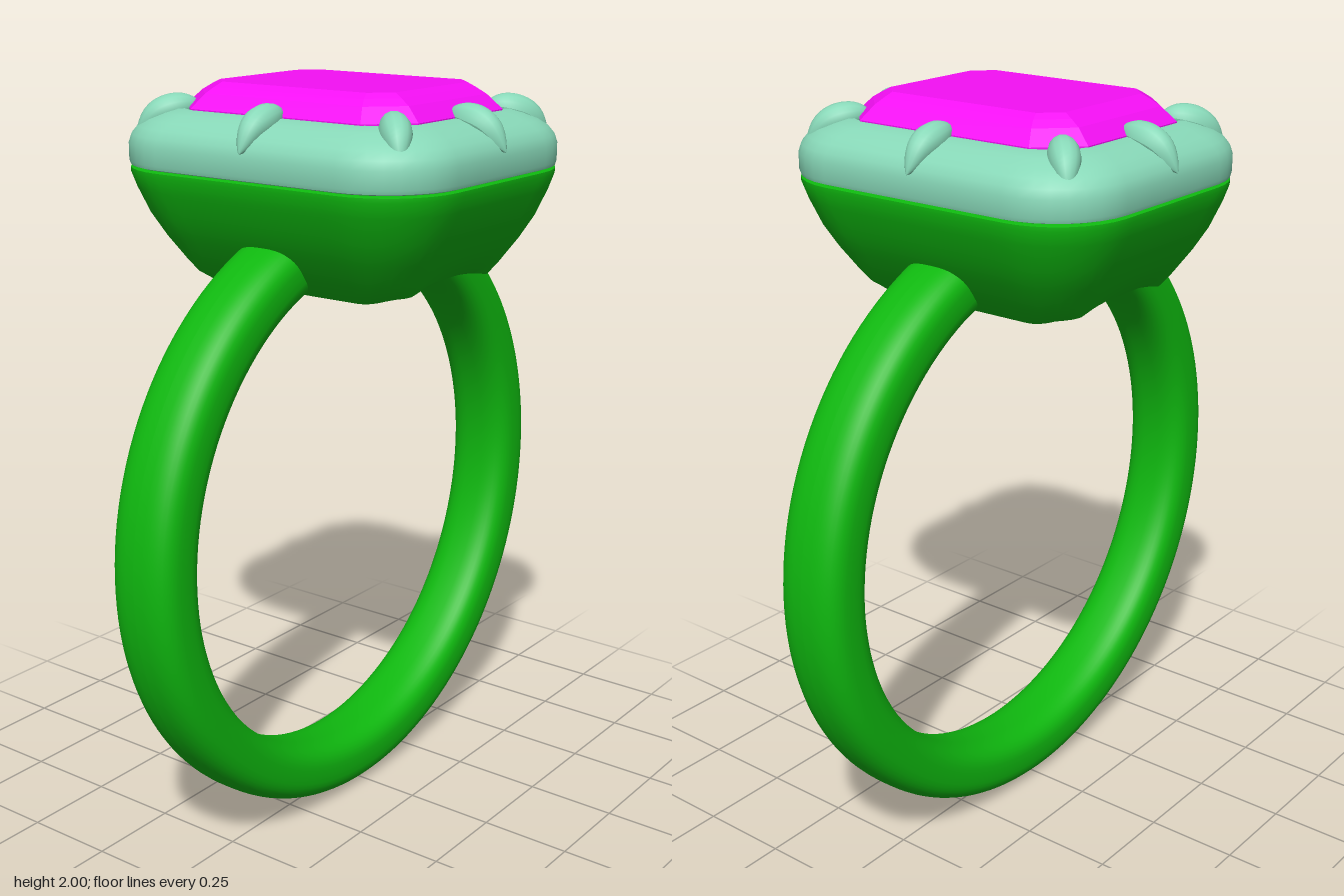
import * as THREE from 'three';
import { toCreasedNormals } from 'three/addons/utils/BufferGeometryUtils.js';

const green = new THREE.MeshStandardMaterial({ color: 0x0fb80f });
const teal = new THREE.MeshStandardMaterial({ color: 0x88d8b8 });
const pink = new THREE.MeshStandardMaterial({ color: 0xf510f5, flatShading: true });

const HX = 0.413, HZ = 0.495;        // half size of the setting
const CY = 0.843, RIN = 0.683;       // finger hole centre and radius

// Rounded rectangle outline in x and z, with divided corners and sides
function outline(hx, hz, r, cornerSegs, sideSegs) {
  const pts = [];
  const signs = [[1, 1], [-1, 1], [-1, -1], [1, -1]];
  const corner = (k, i) => {
    const a = (k + i / cornerSegs) * Math.PI / 2;
    const [sx, sz] = signs[k];
    return new THREE.Vector2(sx * (hx - r) + r * Math.cos(a), sz * (hz - r) + r * Math.sin(a));
  };
  for (let k = 0; k < 4; k++) {
    for (let i = 0; i <= cornerSegs; i++) pts.push(corner(k, i));
    const a = corner(k, cornerSegs), b = corner((k + 1) % 4, 0);
    for (let i = 1; i < sideSegs; i++) pts.push(a.clone().lerp(b, i / sideSegs));
  }
  return pts;
}

// Skin through levels [hx, hz, r, y]; yRule may reshape the height
function loft(levels, cornerSegs, sideSegs, yRule = (x, y) => y) {
  const pos = [], idx = [];
  let n = 0;
  for (const [hx, hz, r, y] of levels) {
    const ring = outline(hx, hz, r, cornerSegs, sideSegs);
    n = ring.length;
    for (const p of ring) pos.push(p.x, yRule(p.x, y), p.y);
  }
  for (let j = 0; j < levels.length - 1; j++) {
    for (let i = 0; i < n; i++) {
      const a = j * n + i, b = j * n + (i + 1) % n;
      idx.push(a, a + n, b, b, a + n, b + n);
    }
  }
  const g = new THREE.BufferGeometry();
  g.setAttribute('position', new THREE.Float32BufferAttribute(pos, 3));
  g.setIndex(idx);
  g.computeVertexNormals();
  return g;
}

// Turn [inset, y] pairs into levels of the setting
const inset = (profile) => profile.map(([d, y]) =>
  [HX - d, HZ - d, Math.max(0.05, 0.21 - 0.65 * d), y]);

// Curved claw: a tube whose radius swells and closes at both tips
function clawGeometry() {
  const path = new THREE.CatmullRomCurve3([
    new THREE.Vector3(-0.045, 1.94, 0), new THREE.Vector3(0.015, 1.932, 0),
    new THREE.Vector3(0.07, 1.912, 0), new THREE.Vector3(0.125, 1.855, 0)]);
  const segs = 20, sides = 14;
  const g = new THREE.TubeGeometry(path, segs, 1, sides);
  const p = g.attributes.position, v = new THREE.Vector3();
  for (let i = 0; i <= segs; i++) {
    const t = i / segs, c = path.getPointAt(t);
    const r = 0.039 * Math.pow(Math.sin(Math.PI * Math.pow(t, 0.8)), 0.75) + 0.0005;
    for (let j = 0; j <= sides; j++) {
      const k = i * (sides + 1) + j;
      v.fromBufferAttribute(p, k).sub(c).multiplyScalar(r).add(c);
      p.setXYZ(k, v.x, v.y, v.z);
    }
  }
  g.computeVertexNormals();
  return g;
}

export function createModel() {
  const model = new THREE.Group();
  const add = (name, geometry, material) => {
    const m = new THREE.Mesh(geometry, material);
    m.name = name;
    model.add(m);
    return m;
  };

  // Band: soft-edged section swept round, open under the setting
  const section = [];
  for (let i = 0; i <= 40; i++) {
    const a = i / 40 * Math.PI * 2, c = Math.cos(a), s = Math.sin(a);
    const soft = (q) => Math.sign(q) * Math.pow(Math.abs(q), 2 / 2.8);
    section.push(new THREE.Vector2(0.763 + 0.08 * soft(c), 0.1 * soft(s)));
  }
  const start = 0.32;
  const band = new THREE.LatheGeometry(section, 128, start, Math.PI * 2 - 2 * start);
  band.rotateX(-Math.PI / 2).translate(0, CY, 0);
  add('band', band, green);

  // Hollow basket, its underside cut to the finger hole
  const basket = loft(inset([
    [0.13, 1.79], [0.25, 1.6], [0.25, 1.57], [0.225, 1.565], [0.225, 1.48],
    [0.215, 1.475], [0.175, 1.482], [0.15, 1.503], [0.125, 1.535], [0.08, 1.6],
    [0.045, 1.66], [0.016, 1.73], [0.003, 1.77], [0.003, 1.782], [0.015, 1.787], [0.13, 1.79],
  ]), 8, 14, (x, y) => Math.max(y, CY + Math.sqrt(RIN * RIN - Math.min(x * x, 0.4))));
  add('basket', toCreasedNormals(basket, 0.7), green);

  // Bezel with a rolled shoulder around the stone
  const bezel = loft(inset([
    [0.14, 1.786], [0.015, 1.786], [0.003, 1.79], [0, 1.8], [0, 1.845], [0.007, 1.868],
    [0.022, 1.888], [0.045, 1.905], [0.08, 1.922], [0.11, 1.932], [0.125, 1.932],
    [0.13, 1.92], [0.14, 1.786],
  ]), 8, 4);
  add('bezel', toCreasedNormals(bezel, 0.8), teal);

  // Step-cut stone with clipped corners, crown above and pavilion below
  add('gemstone', loft([
    [0, 0, 0, 1.64], [0.07, 0.15, 0.02, 1.64], [0.17, 0.25, 0.05, 1.72],
    [0.25, 0.33, 0.08, 1.82], [0.29, 0.37, 0.1, 1.91], [0.29, 0.37, 0.1, 1.935],
    [0.255, 0.33, 0.08, 1.972], [0.232, 0.303, 0.065, 1.988], [0.21, 0.28, 0.05, 2], [0, 0, 0, 2],
  ], 1, 1), pink);

  // Eight claws: one on each side and one on each corner
  const claw = clawGeometry();
  const addClaw = (x, z, angle) => {
    const m = add('claw', claw, teal);
    m.position.set(x, 0, z);
    m.rotation.y = -angle;
  };
  for (const s of [1, -1]) {
    addClaw(s * 0.295, 0, s > 0 ? 0 : Math.PI);
    addClaw(0, s * 0.375, s * Math.PI / 2);
    for (const t of [1, -1]) addClaw(s * 0.245, t * 0.335, Math.atan2(t * 0.7, s * 0.75));
  }
  return model;
}
